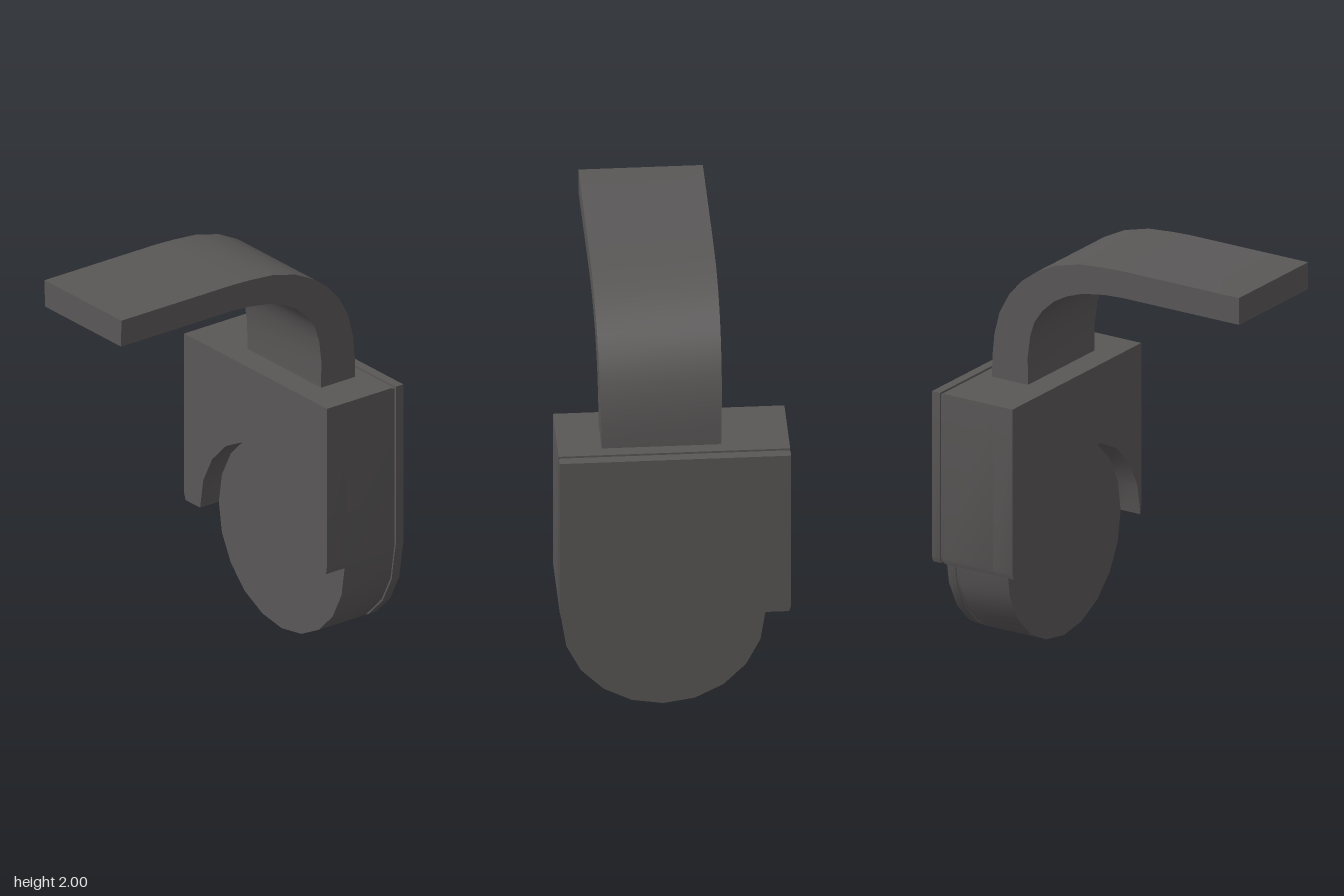
import * as THREE from 'three';
import { toCreasedNormals } from 'three/addons/utils/BufferGeometryUtils.js';

const CX = 0.055, CY = 0.48, R = 0.475; // round lower end
const TOP = 1.325;

export function createModel() {
  const group = new THREE.Group();
  const material = new THREE.MeshStandardMaterial({ color: 0x5a5757 });

  const add = (name, geometry) => {
    const mesh = new THREE.Mesh(toCreasedNormals(geometry, 0.5), material);
    mesh.name = name;
    group.add(mesh);
  };
  const toShape = (pts) => new THREE.Shape(pts.map(([x, y]) => new THREE.Vector2(x, y)));

  // Points on the 20-sided circle, from step a to step b
  const arc = (a, b) => {
    const pts = [];
    for (let i = a; i <= b; i++) {
      const t = (i * Math.PI) / 10;
      pts.push([CX + R * Math.cos(t), CY + R * Math.sin(t)]);
    }
    return pts;
  };

  // Extrude an xy outline between two z positions
  const slab = (name, pts, back, front) => {
    const g = new THREE.ExtrudeGeometry(toShape(pts), { depth: front - back, bevelEnabled: false });
    g.translate(0, 0, back);
    add(name, g);
  };

  const leftEdge = [[-0.54, TOP], [-0.54, 0.51], [-0.53, 0.48]];
  const rightEdge = [[0.538, 0.52], [0.538, TOP]];
  const outline = [...leftEdge, ...arc(10, 20), ...rightEdge];
  const inset = outline.map(([x, y]) => [x * 0.985, 0.663 + (y - 0.663) * 0.985]);

  // Housing layers: back cover, recessed seam, main body, arched front
  slab('backCover', outline, -0.755, -0.71);
  slab('seam', inset, -0.71, -0.69);
  slab('body', outline, -0.69, -0.415);
  slab('archedFront', [...leftEdge, ...arc(0, 10).reverse(), ...rightEdge], -0.415, -0.305);

  // Curved arm profile, as z and y
  const outer = [[0.755, 2], [0.1, 2], [0, 1.996], [-0.135, 1.985], [-0.27, 1.95], [-0.38, 1.895],
    [-0.46, 1.835], [-0.53, 1.755], [-0.585, 1.655], [-0.615, 1.54], [-0.628, 1.42], [-0.63, 1.3]];
  const inner = [[-0.43, 1.3], [-0.43, 1.46], [-0.415, 1.57], [-0.39, 1.645], [-0.345, 1.71],
    [-0.28, 1.77], [-0.21, 1.81], [-0.12, 1.842], [0, 1.861], [0.1, 1.867], [0.755, 1.867]];
  const arm = new THREE.ExtrudeGeometry(toShape([...outer, ...inner]), { depth: 1, bevelEnabled: false });
  arm.rotateY(-Math.PI / 2).translate(0.5, 0, 0);

  // Narrow the arm slightly towards the housing
  const p = arm.attributes.position;
  for (let i = 0; i < p.count; i++) {
    const width = 0.555 + 0.025 * (p.getY(i) - 1.3) / 0.7;
    p.setX(i, CX + p.getX(i) * width);
  }
  add('curvedArm', arm);

  return group;
}
